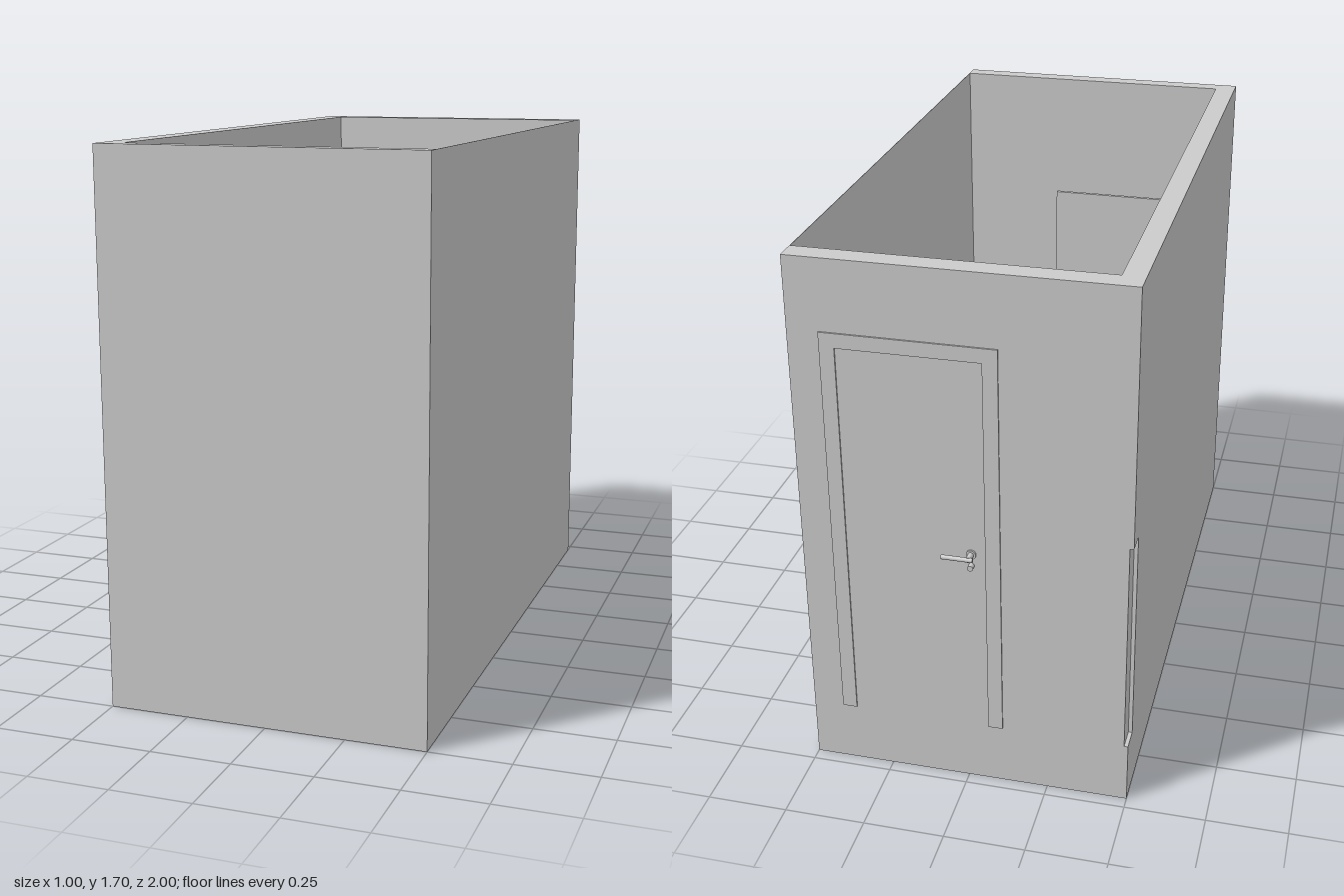
import * as THREE from 'three';

const material = new THREE.MeshStandardMaterial({ color: 0xcccccc, side: THREE.DoubleSide });

function add(parent, name, geometry) {
  const mesh = new THREE.Mesh(geometry, material);
  mesh.name = name;
  parent.add(mesh);
  return mesh;
}

// Box given by its limits on each axis
function box(parent, name, x0, x1, y0, y1, z0, z1) {
  const g = new THREE.BoxGeometry(x1 - x0, y1 - y0, z1 - z0);
  g.translate((x0 + x1) / 2, (y0 + y1) / 2, (z0 + z1) / 2);
  return add(parent, name, g);
}

// Cylinder along 'x', 'y' or 'z'
function rod(parent, name, axis, radius, length, x, y, z, sides = 24) {
  const g = new THREE.CylinderGeometry(radius, radius, length, sides);
  if (axis === 'x') g.rotateZ(Math.PI / 2);
  if (axis === 'z') g.rotateX(Math.PI / 2);
  g.translate(x, y, z);
  return add(parent, name, g);
}

const polygon = (points) => new THREE.Shape(points.map(([x, y]) => new THREE.Vector2(x, y)));
const rect = (x0, x1, y0, y1) => polygon([[x0, y0], [x1, y0], [x1, y1], [x0, y1]]);

// Shape in x/z, raised from y0 to y1
function slab(shape, y0, y1) {
  return new THREE.ExtrudeGeometry(shape, { depth: y1 - y0, bevelEnabled: false, curveSegments: 24 })
    .rotateX(Math.PI / 2).translate(0, y1, 0);
}

// Shape in x/y, running from z0 to z1
function upright(shape, z0, z1) {
  return new THREE.ExtrudeGeometry(shape, { depth: z1 - z0, bevelEnabled: false }).translate(0, 0, z0);
}

function group(parent, name) {
  const g = new THREE.Group();
  g.name = name;
  parent.add(g);
  return g;
}

function buildRoom(parent) {
  const room = group(parent, 'room');
  box(room, 'floorBase', -0.5, 0.5, 0, 0.17, -0.89, 0.945);
  const floor = rect(-0.5, 0.5, -0.89, 0.945);
  floor.holes.push(rect(-0.42, 0.465, 0.41, 0.94));
  add(room, 'floor', slab(floor, 0.17, 0.2));
  box(room, 'leftSideWall', -0.5, -0.433, 0, 1.7, -0.89, 0.945);
  box(room, 'thinSideWall', 0.498, 0.5, 0, 1.7, -0.89, 0.945);
  box(room, 'frontWall', -0.5, 0.5, 0, 1.7, 0.945, 1);
  // Back wall with a shallow corner notch and the door opening
  const back = polygon([[-0.5, 0], [0.5, 0], [0.5, 1.7], [-0.5, 1.7],
    [-0.5, 0.9], [-0.488, 0.9], [-0.488, 0.2], [-0.5, 0.2]]);
  back.holes.push(rect(-0.085, 0.38, 0.2, 1.455));
  add(room, 'backWall', upright(back, -0.96, -0.89));
}

function buildDoor(parent) {
  const door = group(parent, 'door');
  const frame = polygon([[-0.11, 0.2], [-0.065, 0.2], [-0.065, 1.435], [0.36, 1.435],
    [0.36, 0.2], [0.405, 0.2], [0.405, 1.48], [-0.11, 1.48]]);
  add(door, 'doorFrame', upright(frame, -0.965, -0.885));
  box(door, 'doorLeaf', -0.065, 0.36, 0.2, 1.435, -0.96, -0.93);
  // Lever and lock on both faces
  for (const [face, dir] of [[-0.96, -1], [-0.93, 1]]) {
    const handle = group(door, 'doorHandle');
    rod(handle, 'handleRose', 'z', 0.015, 0.006, -0.022, 0.815, face + dir * 0.003);
    rod(handle, 'handleStem', 'z', 0.009, 0.034, -0.022, 0.815, face + dir * 0.017);
    rod(handle, 'handleLever', 'x', 0.007, 0.095, 0.0125, 0.815, face + dir * 0.033);
    rod(handle, 'lock', 'z', 0.009, 0.018, -0.022, 0.776, face + dir * 0.009);
  }
}

function buildWashstand(parent) {
  const stand = group(parent, 'washstand');
  box(stand, 'cabinet', -0.433, -0.175, 0.42, 0.62, -0.785, -0.315);
  const top = rect(-0.433, -0.17, -0.79, -0.31);
  top.holes.push(rect(-0.39, -0.19, -0.66, -0.445));
  add(stand, 'basinTop', slab(top, 0.62, 0.71));
  rod(stand, 'basinDrain', 'y', 0.014, 0.006, -0.29, 0.622, -0.55);
  // Wall-mounted tap
  rod(stand, 'tapSpout', 'x', 0.006, 0.145, -0.36, 0.82, -0.55);
  rod(stand, 'tapOutlet', 'y', 0.016, 0.025, -0.29, 0.815, -0.55);
  rod(stand, 'tapRose', 'x', 0.016, 0.006, -0.43, 0.82, -0.55);
  rod(stand, 'tapKnob', 'x', 0.012, 0.024, -0.421, 0.82, -0.605);
  rod(parent, 'roundMirror', 'x', 0.24, 0.012, -0.428, 1.207, -0.55, 64);
}

// Straight back with a half-round nose towards +x
function bowlShape(xBack, xNose, halfWidth) {
  const s = new THREE.Shape();
  const xc = xNose - halfWidth;
  s.moveTo(xBack, -halfWidth);
  s.lineTo(xc, -halfWidth);
  s.absarc(xc, 0, halfWidth, -Math.PI / 2, Math.PI / 2, false);
  s.lineTo(xBack, halfWidth);
  s.closePath();
  return s;
}

function buildToilet(parent) {
  const toilet = group(parent, 'toilet');
  toilet.position.z = 0.12;
  // Bowl narrows towards the floor
  const bowl = slab(bowlShape(-0.35, -0.085, 0.1), 0.2, 0.435);
  const p = bowl.attributes.position;
  for (let i = 0; i < p.count; i++) {
    if (p.getY(i) < 0.3) p.setXYZ(i, -0.35 + (p.getX(i) + 0.35) * 0.75, p.getY(i), p.getZ(i) * 0.7);
  }
  bowl.computeVertexNormals();
  add(toilet, 'bowl', bowl);
  add(toilet, 'seat', slab(bowlShape(-0.345, -0.08, 0.109), 0.435, 0.448));
  add(toilet, 'lid', slab(bowlShape(-0.33, -0.083, 0.105), 0.448, 0.46));
  box(toilet, 'pedestalBack', -0.433, -0.35, 0.2, 0.435, -0.075, 0.075);
  box(toilet, 'tank', -0.433, -0.355, 0.435, 0.665, -0.106, 0.106);
  box(toilet, 'tankLid', -0.433, -0.35, 0.665, 0.685, -0.11, 0.11);
  rod(toilet, 'flushButton', 'y', 0.011, 0.008, -0.388, 0.687, 0);
}

function buildShower(parent) {
  const shower = group(parent, 'shower');
  // Four slopes falling to a square drain
  const rim = [[-0.42, 0.41], [-0.42, 0.94], [0.465, 0.94], [0.465, 0.41]];
  const sump = [[-0.28, 0.63], [-0.28, 0.72], [-0.19, 0.72], [-0.19, 0.63]];
  const v = [];
  for (const [x, z] of rim) v.push(x, 0.198, z);
  for (const [x, z] of sump) v.push(x, 0.182, z);
  const index = [4, 5, 6, 4, 6, 7];
  for (let i = 0; i < 4; i++) {
    const j = (i + 1) % 4;
    index.push(i, j, j + 4, i, j + 4, i + 4);
  }
  let tray = new THREE.BufferGeometry();
  tray.setAttribute('position', new THREE.Float32BufferAttribute(v, 3));
  tray.setIndex(index);
  tray = tray.toNonIndexed();
  tray.computeVertexNormals();
  add(shower, 'showerTray', tray);
  box(shower, 'showerScreen', -0.433, 0.038, 0.2, 1.452, 0.405, 0.417);
}

export function createModel() {
  const model = new THREE.Group();
  model.name = 'bathroom';
  buildRoom(model);
  buildDoor(model);
  buildWashstand(model);
  buildToilet(model);
  buildShower(model);
  return model;
}
